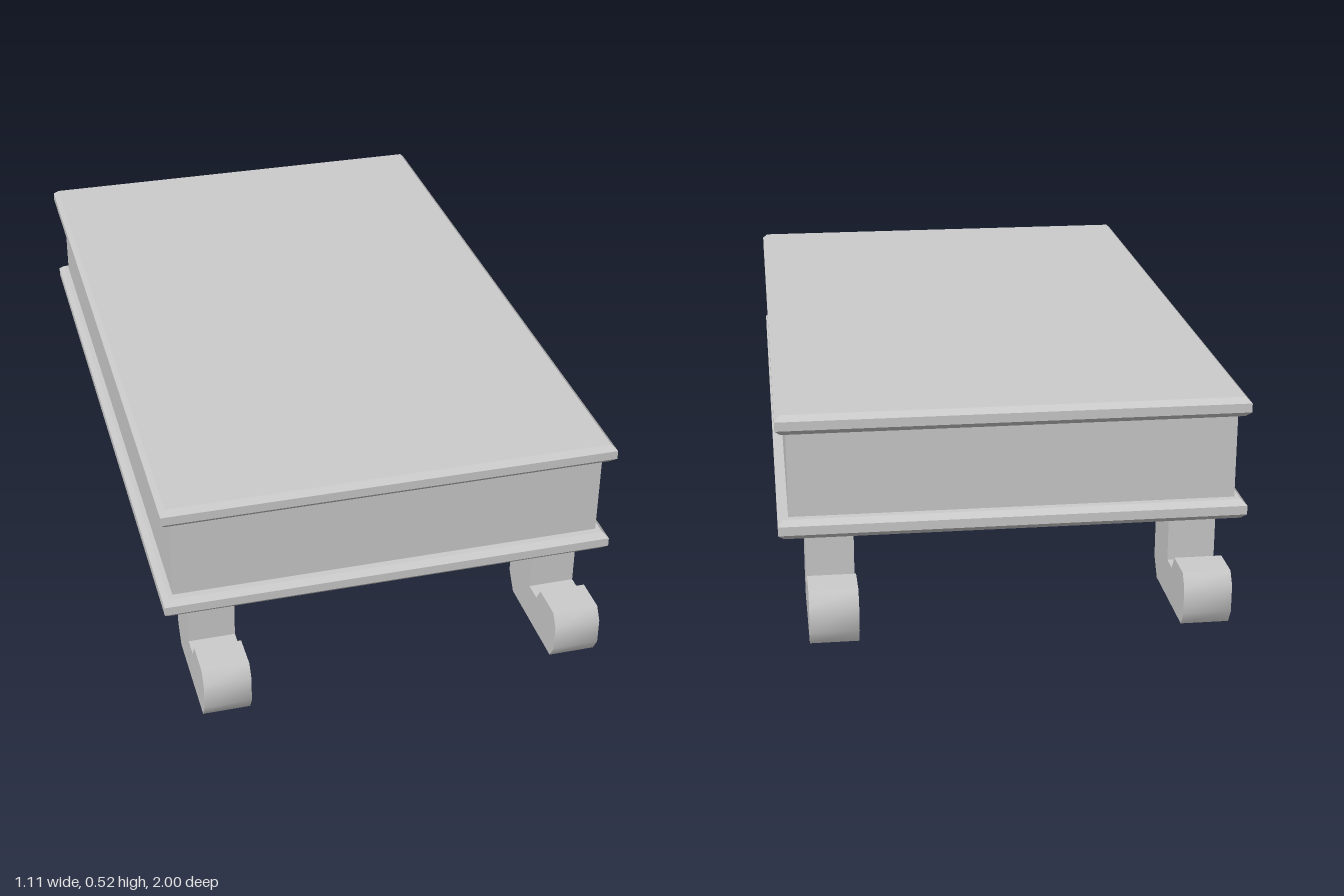
import * as THREE from 'three';
import { toCreasedNormals } from 'three/addons/utils/BufferGeometryUtils.js';

const material = new THREE.MeshStandardMaterial({ color: 0xcccccc });

function addMesh(parent, name, geometry) {
  const mesh = new THREE.Mesh(geometry, material);
  mesh.name = name;
  parent.add(mesh);
  return mesh;
}

// Rectangular slab with chamfered upper and lower rims
function slabGeometry(halfX, halfZ, height, chamfer) {
  const x = halfX - chamfer, z = halfZ - chamfer;
  const shape = new THREE.Shape([
    new THREE.Vector2(-x, -z), new THREE.Vector2(x, -z),
    new THREE.Vector2(x, z), new THREE.Vector2(-x, z),
  ]);
  const geometry = new THREE.ExtrudeGeometry(shape, {
    depth: height - 2 * chamfer, bevelEnabled: true,
    bevelThickness: chamfer, bevelSize: chamfer, bevelSegments: 1,
  });
  geometry.rotateX(-Math.PI / 2);
  geometry.translate(0, chamfer, 0);
  return toCreasedNormals(geometry, 0.7);
}

// Scroll leg: side profile (outward z, y) extruded across its width
function legGeometry(width) {
  const profile = [
    [0.684, 0.215], [0.684, 0.045], [0.717, 0], [0.98, 0], [1, 0.035], [1, 0.1],
    [0.98, 0.13], [0.893, 0.13], [0.87, 0.094], [0.822, 0.094], [0.822, 0.215],
  ];
  const shape = new THREE.Shape(profile.map(([z, y]) => new THREE.Vector2(z, y)));
  const geometry = new THREE.ExtrudeGeometry(shape, { depth: width, bevelEnabled: false });
  geometry.translate(0, 0, -width / 2);
  geometry.rotateY(-Math.PI / 2);
  return toCreasedNormals(geometry, 0.7);
}

export function createModel() {
  const model = new THREE.Group();
  model.name = 'lowTable';

  // Table body between two moulded slabs
  const slab = slabGeometry(0.555, 0.875, 0.048, 0.013);
  addMesh(model, 'lowerSlab', slab).position.y = 0.212;
  addMesh(model, 'body', new THREE.BoxGeometry(1.06, 0.22, 1.69)).position.y = 0.364;
  addMesh(model, 'tableTop', slab).position.y = 0.469;

  // Four legs, feet curling outward at each end
  const leg = legGeometry(0.114);
  for (const [end, turn] of [['front', 0], ['back', Math.PI]]) {
    const pair = new THREE.Group();
    pair.name = `${end}Legs`;
    pair.rotation.y = turn;
    for (const side of [-1, 1]) addMesh(pair, `${end}Leg`, leg).position.x = side * 0.435;
    model.add(pair);
  }
  return model;
}
